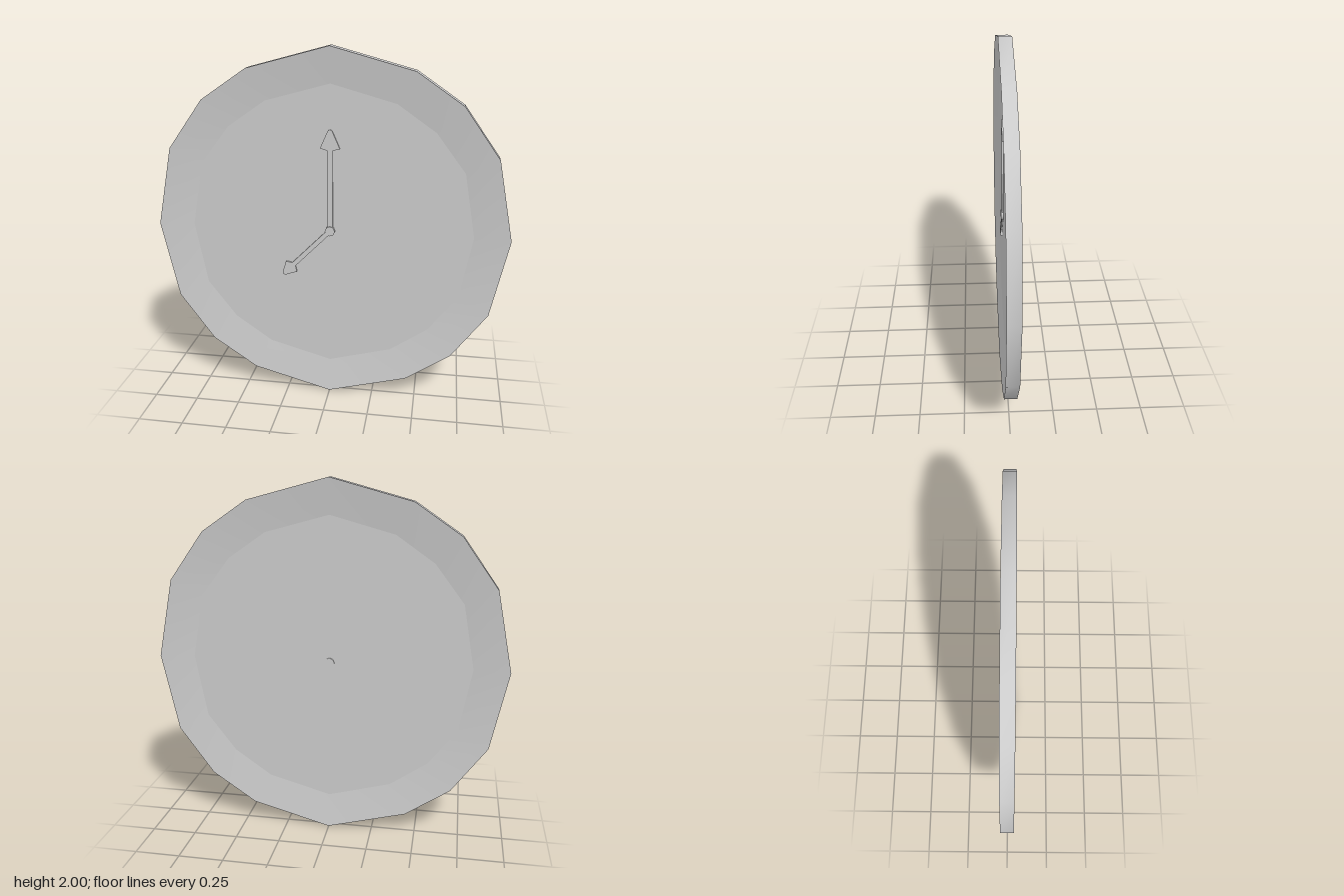
import * as THREE from 'three';
import { toCreasedNormals } from 'three/addons/utils/BufferGeometryUtils.js';

const FACE = 0.008; // half thickness of the dial
const RIM = 0.035;  // half thickness of the rim

// Outline through one quarter, mirrored into a full 16-sided loop (counter-clockwise)
function outline(quarter) {
  const top = [...quarter, ...quarter.slice(0, -1).reverse().map(([x, y]) => [-x, y])];
  return [...top, ...top.slice(1, -1).reverse().map(([x, y]) => [x, -y])];
}
const outer = outline([[0.98, 0], [0.89, 0.44], [0.695, 0.71], [0.445, 0.88], [0, 1]]);
const inner = outline([[0.785, 0], [0.72, 0.355], [0.56, 0.565], [0.352, 0.71], [0, 0.807]]);

const toShape = (pts) => new THREE.Shape(pts.map(([x, y]) => new THREE.Vector2(x, y)));

function slab(pts, z0, z1) {
  const geo = new THREE.ExtrudeGeometry(toShape(pts), { depth: z1 - z0, bevelEnabled: false });
  return geo.translate(0, 0, z0);
}

// Strips joining successive loops: sloping front, outer wall, sloping back
function rimGeometry() {
  const loops = [[inner, FACE], [outer, RIM], [outer, -RIM], [inner, -FACE]];
  const n = outer.length;
  const positions = loops.flatMap(([pts, z]) => pts.flatMap(([x, y]) => [x, y, z]));
  const index = [];
  for (let r = 0; r < loops.length - 1; r++) {
    for (let i = 0; i < n; i++) {
      const a = r * n + i, b = r * n + (i + 1) % n;
      index.push(a, a + n, b + n, a, b + n, b);
    }
  }
  const geo = new THREE.BufferGeometry();
  geo.setAttribute('position', new THREE.Float32BufferAttribute(positions, 3));
  geo.setIndex(index);
  return toCreasedNormals(geo, 0.56);
}

// Arrow hand pointing up from the origin
function handGeometry(length, neck, barb, halfWidth, headWidth) {
  const side = [[halfWidth, 0], [halfWidth, neck], [headWidth, barb], [0.012, length - 0.008]];
  const pts = [...side, [0, length], ...side.map(([x, y]) => [-x, y]).reverse()];
  return slab(pts, FACE - 0.002, FACE + 0.01);
}

export function createModel() {
  const group = new THREE.Group();
  const material = new THREE.MeshStandardMaterial({ color: 0xcccccc });
  const add = (name, geometry) => {
    const mesh = new THREE.Mesh(geometry, material);
    mesh.name = name;
    mesh.position.y = 1;
    group.add(mesh);
    return mesh;
  };

  add('rim', rimGeometry());
  add('dial', slab(inner, -FACE, FACE));

  // Hands
  add('minuteHand', handGeometry(0.568, 0.455, 0.465, 0.016, 0.054));
  add('hourHand', handGeometry(0.385, 0.295, 0.316, 0.013, 0.043)).rotation.z = THREE.MathUtils.degToRad(135.5);

  // Centre pin passing through the dial
  const pin = new THREE.CylinderGeometry(0.028, 0.028, 0.036, 8);
  pin.rotateX(Math.PI / 2).translate(0, 0, 0.005);
  add('centrePin', toCreasedNormals(pin, 0.9));

  return group;
}
